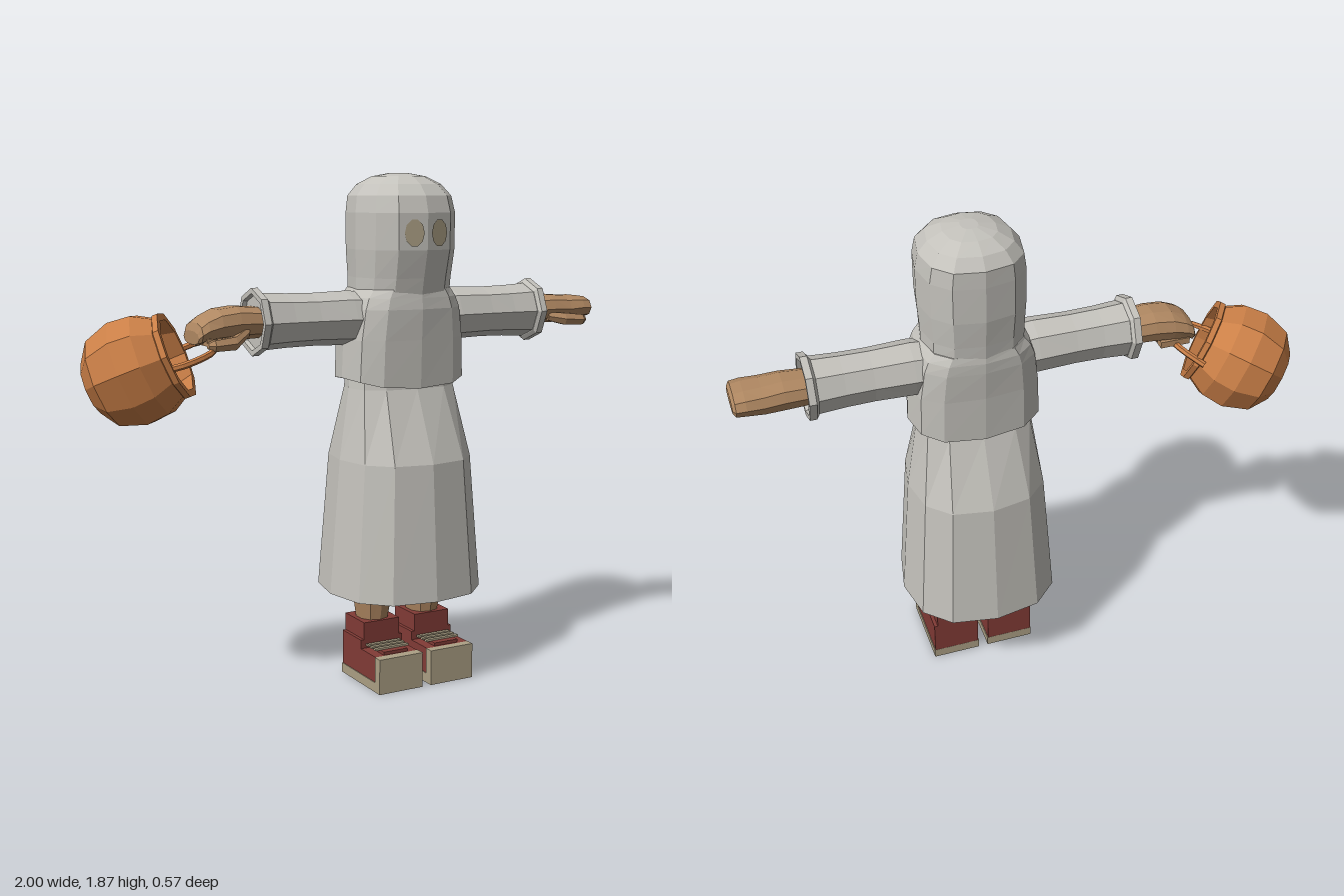
import * as THREE from 'three';

const paint = (name, color, side = THREE.FrontSide) => {
  const m = new THREE.MeshStandardMaterial({ color, flatShading: true, side });
  m.name = name;
  return m;
};

// Rings [height, radiusX, radiusZ, centreX, centreZ] joined by quads and capped where asked
function loft(rings, { sides = 12, power = 2.5, capLow = true, capHigh = true, dip = 0 } = {}) {
  const pos = [], index = [];
  const bend = (v) => Math.sign(v) * Math.pow(Math.abs(v), 2 / power);
  rings.forEach(([y, rx, rz, cx = 0, cz = 0], r) => {
    for (let i = 0; i < sides; i++) {
      const a = (i / sides) * Math.PI * 2;
      const drop = r === 0 ? dip * Math.cos(a) ** 2 : 0;
      pos.push(cx + rx * bend(Math.sin(a)), y - drop, cz + rz * bend(Math.cos(a)));
    }
  });
  for (let r = 0; r < rings.length - 1; r++) {
    for (let i = 0; i < sides; i++) {
      const j = (i + 1) % sides, a = r * sides, b = a + sides;
      index.push(a + i, a + j, b + j, a + i, b + j, b + i);
    }
  }
  const cap = (r, up) => {
    const c = pos.length / 3, [y, , , cx = 0, cz = 0] = rings[r];
    pos.push(cx, y, cz);
    for (let i = 0; i < sides; i++) {
      const p = r * sides + i, q = r * sides + ((i + 1) % sides);
      index.push(c, up ? p : q, up ? q : p);
    }
  };
  if (capLow) cap(0, false);
  if (capHigh) cap(rings.length - 1, true);
  const g = new THREE.BufferGeometry();
  g.setAttribute('position', new THREE.Float32BufferAttribute(pos, 3));
  g.setIndex(index);
  g.computeVertexNormals();
  return g;
}

export function createModel() {
  const cloth = paint('grey cloth', 0xc4c2bc, THREE.DoubleSide);
  const skin = paint('skin', 0xb08862);
  const leather = paint('red leather', 0x823b36);
  const tan = paint('tan', 0xaca085);
  const orange = paint('orange plastic', 0xca7f47, THREE.DoubleSide);

  const model = new THREE.Group();
  const figure = new THREE.Group();
  figure.name = 'figure';
  figure.position.x = 0.165;
  model.add(figure);
  const add = (parent, name, geometry, material, x = 0, y = 0, z = 0) => {
    const m = new THREE.Mesh(geometry, material);
    m.name = name;
    m.position.set(x, y, z);
    parent.add(m);
    return m;
  };

  // Robe: open skirt, cape over the chest, hood
  add(figure, 'skirt', loft([
    [0.34, 0.29, 0.28, 0, 0.01], [0.84, 0.25, 0.245, 0, 0.01],
    [1.1, 0.21, 0.135, 0, 0.005], [1.2, 0.2, 0.13],
  ], { capLow: false }), cloth);
  add(figure, 'cape', loft([
    [1.14, 0.238, 0.16, 0, 0.005], [1.28, 0.232, 0.165, 0, 0.005],
    [1.39, 0.216, 0.172, 0, 0.003], [1.43, 0.2, 0.17], [1.46, 0.176, 0.166],
  ], { power: 2.8, dip: 0.035, capLow: false }), cloth);
  add(figure, 'hood', loft([
    [1.43, 0.178, 0.166], [1.5, 0.178, 0.176, 0, 0.004], [1.6, 0.184, 0.193, 0, 0.01],
    [1.73, 0.184, 0.195, 0, 0.01], [1.79, 0.174, 0.186, 0, 0.002], [1.83, 0.142, 0.152, 0, -0.002],
    [1.858, 0.09, 0.1, 0, -0.004], [1.87, 0.03, 0.035, 0, -0.005],
  ]), cloth);

  for (const s of [-1, 1]) {
    // Eye hole plate lying on the hood's front panel
    const eye = add(figure, 'eye', new THREE.CircleGeometry(1, 10), tan, s * 0.051, 1.66, 0.199);
    eye.scale.set(0.037, 0.049, 1);
    eye.rotation.y = s * 0.205;

    // Sleeve and cuff, lofted upward then laid sideways
    const arm = new THREE.Group();
    arm.name = s > 0 ? 'leftArm' : 'rightArm';
    arm.position.y = 1.356;
    figure.add(arm);
    const sideways = (rings, opts) => loft(
      rings.map(([d, rv, rz, dy = 0, cz = 0]) => [d, rv, rz, -s * dy, cz]), opts
    ).rotateZ(-s * Math.PI / 2);
    const round = { sides: 8, power: 2 };
    add(arm, 'sleeve', sideways([
      [0.12, 0.09, 0.1], [0.22, 0.098, 0.1], [0.36, 0.094, 0.094], [0.46, 0.096, 0.095], [0.57, 0.102, 0.102],
    ], round), cloth);
    add(arm, 'cuff', sideways([
      [0.555, 0.104, 0.104], [0.565, 0.119, 0.116], [0.59, 0.119, 0.116], [0.59, 0.1, 0.098], [0.575, 0.096, 0.094],
    ], round), cloth);

    // Hand: flat on the left, curled around the handle on the right
    const hand = s > 0
      ? [[0.57, 0.052, 0.075], [0.66, 0.056, 0.08, 0.002], [0.73, 0.052, 0.084],
        [0.79, 0.046, 0.088, 0.004], [0.825, 0.042, 0.085, 0.003], [0.835, 0.026, 0.07, 0.002]]
      : [[0.57, 0.055, 0.075], [0.66, 0.06, 0.082, 0.002], [0.73, 0.058, 0.086, -0.004],
        [0.78, 0.046, 0.086, -0.016], [0.805, 0.04, 0.084, -0.03], [0.815, 0.024, 0.07, -0.042]];
    add(arm, 'hand', sideways(hand, { sides: 10, power: 2.3 }), skin);
    const drop = s > 0 ? 0 : -0.025;
    add(arm, 'thumb', sideways([
      [0.63, 0.018, 0.016, -0.025, 0.06], [0.69, 0.026, 0.024, -0.035 + drop, 0.084],
      [0.77, 0.022, 0.022, -0.04 + drop, 0.092], [0.79, 0.011, 0.012, -0.04 + drop, 0.086],
    ], { sides: 6, power: 2 }), skin);
    if (s < 0) {
      for (const z of [-0.06, -0.02, 0.02, 0.06]) {
        add(arm, 'curledFinger', new THREE.BoxGeometry(0.11, 0.024, 0.034), skin, -0.735, -0.055, z);
      }
    }

    // Leg and boot
    const leg = new THREE.Group();
    leg.name = s > 0 ? 'leftLeg' : 'rightLeg';
    leg.position.x = s * 0.109;
    figure.add(leg);
    add(leg, 'shin', loft([
      [0.2, 0.055, 0.06], [0.36, 0.079, 0.082, 0, 0.006], [0.6, 0.088, 0.09], [0.95, 0.092, 0.09],
    ], { sides: 10, power: 2.2 }), skin);
    add(leg, 'sole', new THREE.BoxGeometry(0.182, 0.036, 0.29), tan, 0, 0.018, 0.076);
    add(leg, 'bootHeel', new THREE.BoxGeometry(0.176, 0.13, 0.143), leather, 0, 0.1, 0.003);
    add(leg, 'bootShaft', new THREE.BoxGeometry(0.15, 0.066, 0.146), leather, 0, 0.197, 0.002);
    add(leg, 'bootFoot', new THREE.BoxGeometry(0.176, 0.096, 0.12), leather, 0, 0.084, 0.128);
    add(leg, 'toeCap', new THREE.BoxGeometry(0.182, 0.1, 0.036), tan, 0, 0.082, 0.203);
    add(leg, 'tongue', new THREE.BoxGeometry(0.1, 0.012, 0.11), leather, 0, 0.138, 0.125);
    for (const z of [0.09, 0.118, 0.146]) {
      add(leg, 'lace', new THREE.BoxGeometry(0.14, 0.008, 0.015), tan, 0, 0.147, z);
    }
  }

  // Round bucket tipped toward the hand
  const bucket = add(model, 'bucket', new THREE.LatheGeometry([
    [0, -0.17], [0.095, -0.165], [0.162, -0.115], [0.194, -0.02], [0.186, 0.06], [0.148, 0.125],
    [0.158, 0.13], [0.158, 0.15], [0.132, 0.15], [0.165, 0.06], [0.17, -0.02], [0.14, -0.1], [0, -0.145],
  ].map(([r, y]) => new THREE.Vector2(r, y)), 10), orange, -0.815, 1.2, -0.092);
  bucket.quaternion.setFromUnitVectors(
    new THREE.Vector3(0, 1, 0), new THREE.Vector3(0.8, 0.38, 0.5).normalize());

  // Carrying handle looping through the curled fingers
  const loop = new THREE.CatmullRomCurve3([
    [-0.785, 1.215, 0.075], [-0.72, 1.235, 0.115], [-0.62, 1.268, 0.1],
    [-0.567, 1.293, 0.005], [-0.585, 1.285, -0.1], [-0.645, 1.25, -0.17],
  ].map((p) => new THREE.Vector3(...p)));
  add(model, 'bucketHandle', new THREE.TubeGeometry(loop, 14, 0.012, 6), orange);

  return model;
}
